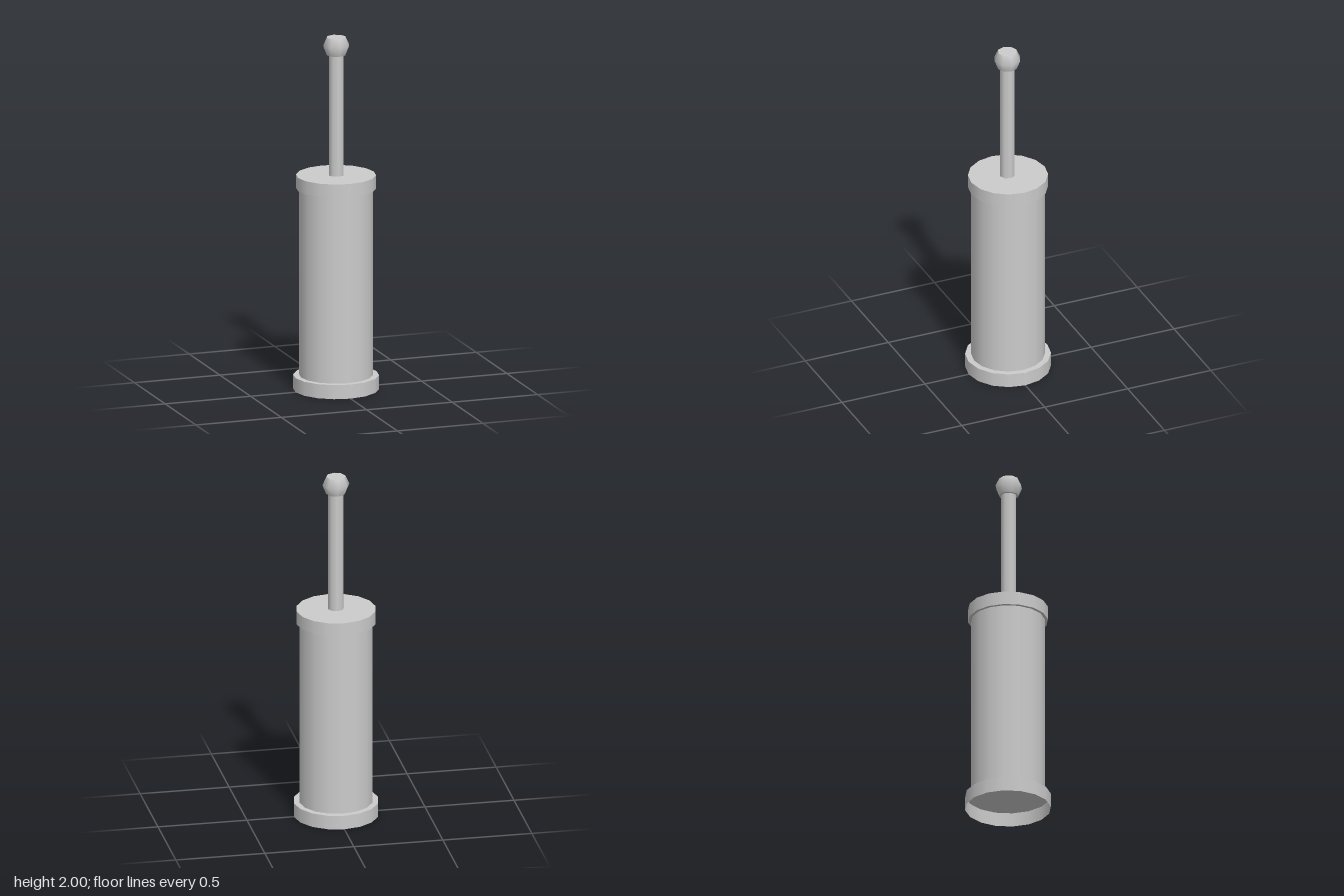
import * as THREE from 'three';

export function createModel() {
  const group = new THREE.Group();
  const material = new THREE.MeshStandardMaterial({ color: 0xcccccc, side: THREE.DoubleSide });

  function add(name, geometry, y = 0, z = 0) {
    const mesh = new THREE.Mesh(geometry, material);
    mesh.name = name;
    mesh.position.set(0, y, z);
    group.add(mesh);
  }

  // Upright cylinder between two heights
  function cylinder(name, radius, bottom, top, sides, z = 0, open = false) {
    const height = top - bottom;
    add(name, new THREE.CylinderGeometry(radius, radius, height, sides, 1, open), (bottom + top) / 2, z);
  }

  const SIDES = 16;
  const HANDLE_Z = 0.004;

  // Base: a thin skirt, hollow underneath, closed by a plate at its top
  cylinder('baseSkirt', 0.237, 0, 0.08, SIDES, 0, true);
  const plate = new THREE.CircleGeometry(0.237, SIDES);
  plate.rotateX(-Math.PI / 2);
  add('basePlate', plate, 0.08);

  // Holder body and its lid
  cylinder('body', 0.204, 0.08, 1.14, SIDES, 0, true);
  cylinder('lid', 0.221, 1.14, 1.216, SIDES);

  // Handle rod
  cylinder('handleRod', 0.043, 1.216, 1.9, 8, HANDLE_Z, true);

  // Faceted knob: two smooth-shaded cones with flat ends
  const knob = new THREE.LatheGeometry([
    new THREE.Vector2(0.054, 1.9),
    new THREE.Vector2(0.076, 1.953),
    new THREE.Vector2(0.054, 2),
  ], 8);
  add('knob', knob, 0, HANDLE_Z);
  for (const [name, y, turn] of [['knobTop', 2, -1], ['knobBottom', 1.9, 1]]) {
    const cap = new THREE.CircleGeometry(0.054, 8);
    cap.rotateX(turn * Math.PI / 2);
    add(name, cap, y, HANDLE_Z);
  }

  return group;
}
